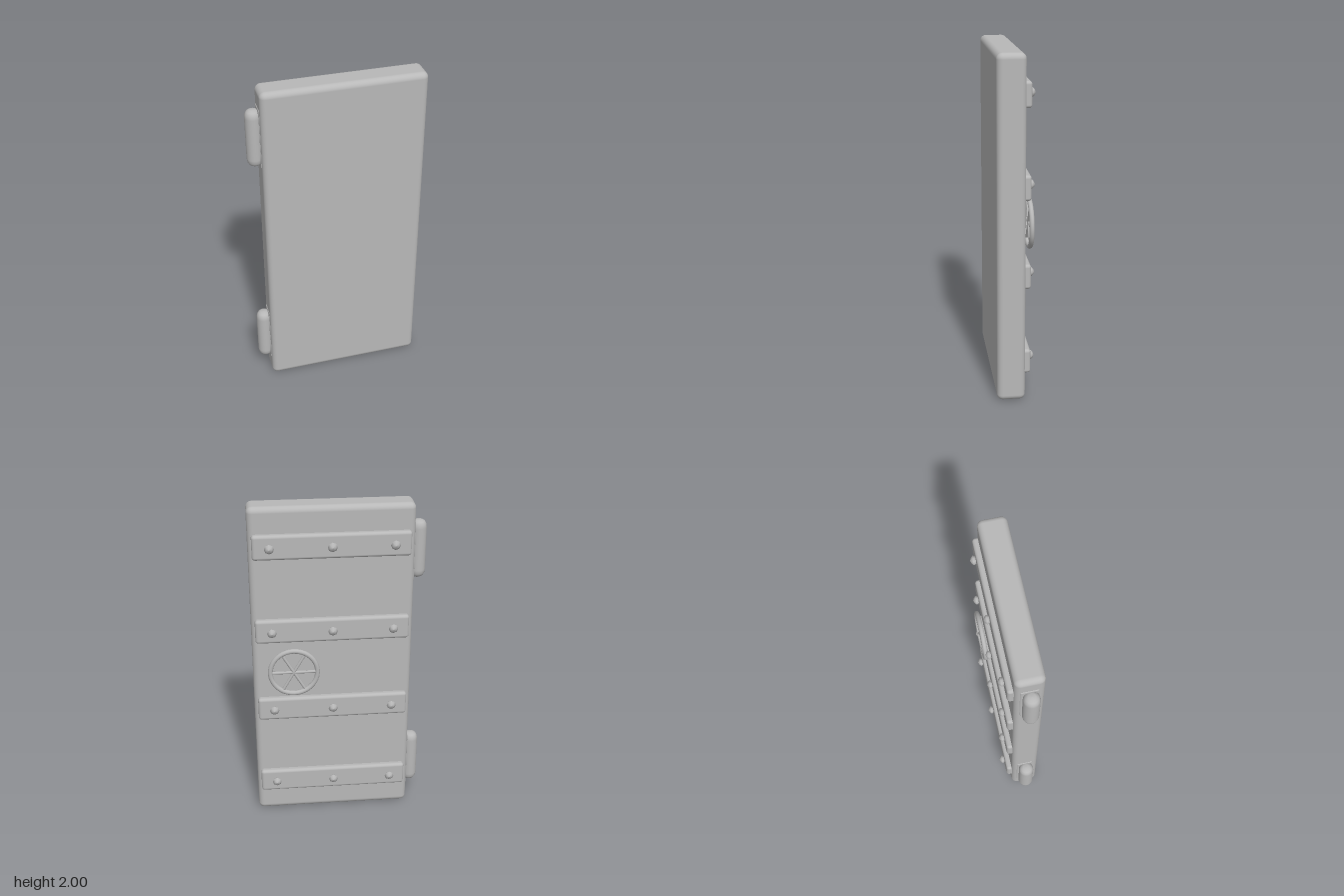
import * as THREE from 'three';
import { RoundedBoxGeometry } from 'three/addons/geometries/RoundedBoxGeometry.js';

export function createModel() {
  const group = new THREE.Group();
  group.name = 'vaultDoor';
  const steel = new THREE.MeshStandardMaterial({ color: 0xb8b8b8 });
  steel.name = 'grey steel';

  const add = (name, geometry, x, y, z, parent = group) => {
    const mesh = new THREE.Mesh(geometry, steel);
    mesh.name = name;
    mesh.position.set(x, y, z);
    parent.add(mesh);
    return mesh;
  };

  // Thick slab with softened edges
  add('doorSlab', new RoundedBoxGeometry(0.944, 2, 0.163, 4, 0.034), 0.035, 1, 0.0285);

  // Hinge barrels: rounded cylinders with a thin flared root against the slab
  const barrel = new THREE.LatheGeometry([
    [0, -0.172], [0.02, -0.171], [0.034, -0.163], [0.043, -0.147], [0.046, -0.125],
    [0.046, 0.125], [0.043, 0.147], [0.034, 0.163], [0.02, 0.171], [0, 0.172],
  ].map(([r, y]) => new THREE.Vector2(r, y)), 24);
  const root = new RoundedBoxGeometry(0.03, 0.37, 0.106, 2, 0.012);
  for (const y of [0.3, 1.708]) {
    add('hingeBarrel', barrel, -0.465, y, 0.029);
    add('hingeRoot', root, -0.426, y, 0.025);
  }

  // Four reinforcing bands, each with three pointed rivets
  const band = new RoundedBoxGeometry(0.897, 0.146, 0.07, 3, 0.018);
  const rivet = new THREE.LatheGeometry([
    [0.015, -0.006], [0.022, 0], [0.028, 0.013], [0.016, 0.024], [0, 0.03],
  ].map(([r, y]) => new THREE.Vector2(r, y)), 8);
  rivet.rotateX(-Math.PI / 2);
  for (const y of [0.232, 0.748, 1.262, 1.776]) {
    add('band', band, 0.036, y, -0.05);
    for (const x of [-0.318, 0.035, 0.388]) add('rivet', rivet, x, y, -0.085);
  }

  // Hand wheel: a ring crossed by three bars
  const wheel = new THREE.Group();
  wheel.name = 'handWheel';
  wheel.position.set(0.267, 1.005, -0.099);
  group.add(wheel);
  add('wheelRim', new THREE.TorusGeometry(0.139, 0.0145, 10, 40), 0, 0, 0, wheel);
  const spoke = new THREE.CylinderGeometry(0.009, 0.009, 0.27, 8);
  for (let i = 0; i < 3; i++) {
    add('wheelSpoke', spoke, 0, 0, 0, wheel).rotation.z = Math.PI / 2 + (i * Math.PI) / 3;
  }

  return group;
}
